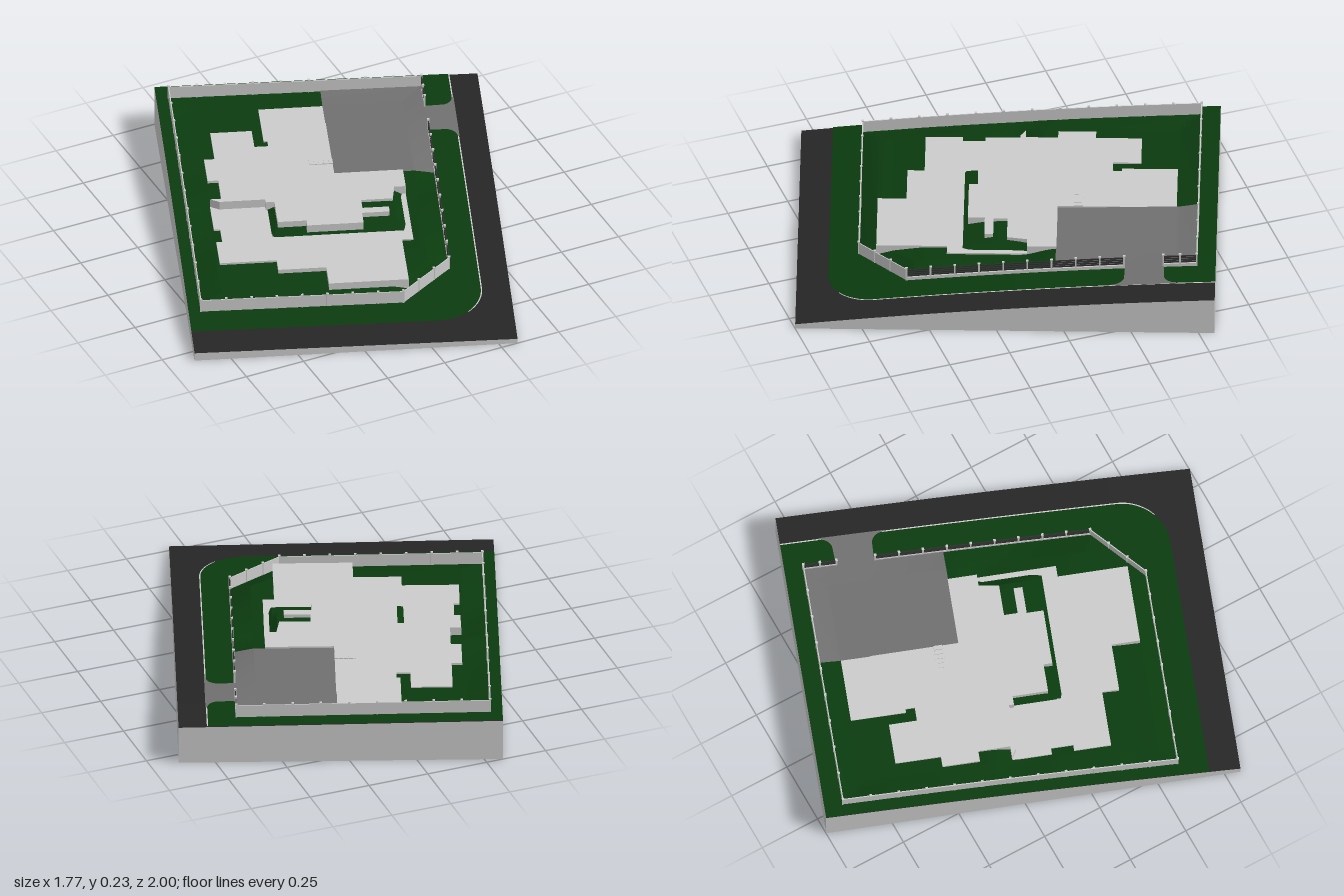
import * as THREE from 'three';

const W = 1.284, D = 1.66;
const mat = (color) => new THREE.MeshStandardMaterial({ color, flatShading: true });
const grey = mat(0xcccccc), green = mat(0x0b3b0f), asphalt = mat(0x262626);
const paving = mat(0x707070), metal = mat(0x303030);
const ss = THREE.MathUtils.smoothstep;

// sloping natural ground, gently levelled inside the fence
function ground(p, r) {
  const t = 0.5 - r / D, s = 0.5 + p / W;
  const slope = 0.035 - 0.015 * s + 0.14 * (1.45 * t - 0.45 * t * t);
  const inside = Math.min(p + 0.593, 0.41 - p, r + 0.755, 0.586 - r, 0.569 - 0.69 * p - 0.725 * r);
  const drop = Math.max(ss(r, 0, 0.25), ss(-p, 0.2, 0.3) * ss(r, -0.15, -0.02),
    ss(p, 0.22, 0.28) * ss(r, -0.2, -0.05));
  const level = 0.14 + 0.02 * Math.max(0, -r - 0.2) - 0.032 * drop - 0.02 * ss(r, 0.3, 0.5);
  return THREE.MathUtils.lerp(slope, level, THREE.MathUtils.clamp(inside / 0.08, 0, 1));
}

function add(parent, name, geometry, material) {
  const m = new THREE.Mesh(geometry, material);
  m.name = name;
  parent.add(m);
  return m;
}

// ground-hugging patch between two side curves left(r) and right(r)
function patch(parent, name, material, r0, r1, left, right, lift, nu, nv) {
  const g = new THREE.PlaneGeometry(1, 1, nu, nv).rotateX(-Math.PI / 2);
  const a = g.attributes.position;
  for (let i = 0; i < a.count; i++) {
    const r = r0 + (r1 - r0) * (a.getZ(i) + 0.5);
    const p = left(r) + (right(r) - left(r)) * (a.getX(i) + 0.5);
    a.setXYZ(i, p, ground(p, r) + lift, r);
  }
  g.computeVertexNormals();
  add(parent, name, g, material);
}

// flat-topped slab from a plan outline
function slab(parent, name, pts, y0, y1) {
  const shape = new THREE.Shape(pts.map(([p, r]) => new THREE.Vector2(p, -r)));
  const g = new THREE.ExtrudeGeometry(shape, { depth: y1 - y0, bevelEnabled: false });
  g.rotateX(-Math.PI / 2).translate(0, y0, 0);
  add(parent, name, g, grey);
}
const rect = (p0, r0, p1, r1) => [[p0, r0], [p1, r0], [p1, r1], [p0, r1]];

// straight bar between two plan points that follows the slope
function rail(parent, name, a, b, y0, y1, thick, material) {
  const dp = b[0] - a[0], dr = b[1] - a[1];
  const g = new THREE.BoxGeometry(Math.hypot(dp, dr), 1, thick);
  const v = g.attributes.position;
  for (let i = 0; i < v.count; i++) {
    const end = v.getX(i) < 0 ? a : b;
    v.setY(i, ground(...end) + (v.getY(i) < 0 ? y0 : y1));
  }
  g.computeVertexNormals();
  const m = add(parent, name, g, material);
  m.position.set((a[0] + b[0]) / 2, 0, (a[1] + b[1]) / 2);
  m.rotation.y = -Math.atan2(dr, dp);
}

function fence(parent, name, a, b, bays, open) {
  const f = new THREE.Group();
  f.name = name;
  parent.add(f);
  const at = (k) => [a[0] + (b[0] - a[0]) * k / bays, a[1] + (b[1] - a[1]) * k / bays];
  for (let k = 0; k <= bays; k++) {
    const [p, r] = at(k);
    add(f, 'post', new THREE.BoxGeometry(0.007, 0.07, 0.007), grey)
      .position.set(p, ground(p, r) + 0.025, r);
    add(f, 'postCap', new THREE.BoxGeometry(0.01, 0.004, 0.01), grey)
      .position.set(p, ground(p, r) + 0.061, r);
    if (k === bays) break;
    if (open) {
      rail(f, 'plinth', at(k), at(k + 1), -0.01, 0.018, 0.006, grey);
      for (let j = 0; j < 4; j++)
        rail(f, 'slat', at(k), at(k + 1), 0.022 + j * 0.009, 0.027 + j * 0.009, 0.004, metal);
    } else rail(f, 'panel', at(k), at(k + 1), -0.01, 0.056, 0.004, grey);
  }
}

export function createModel() {
  const model = new THREE.Group();
  const site = new THREE.Group();
  site.name = 'site';
  site.rotation.y = -THREE.MathUtils.degToRad(20);
  model.add(site);

  // solid earth block with the road surface as its top
  const block = new THREE.BoxGeometry(W, 1, D, 60, 1, 80);
  const v = block.attributes.position;
  for (let i = 0; i < v.count; i++)
    v.setY(i, v.getY(i) < 0 ? 0 : ground(v.getX(i), v.getZ(i)));
  block.computeVertexNormals();
  add(site, 'earthBlock', block, [grey, grey, asphalt, grey, grey, grey]);

  // lawn with its rounded street corner, and the kerb
  const edge = (r) => r < 0.52 ? 0.525 : 0.34 + Math.sqrt(Math.max(0, 0.185 ** 2 - (r - 0.52) ** 2));
  const west = () => -W / 2;
  patch(site, 'lawn', green, -D / 2, 0.52, west, edge, 0.004, 60, 70);
  patch(site, 'lawnCorner', green, 0.52, 0.705, west, edge, 0.004, 60, 40);
  patch(site, 'kerb', grey, -D / 2, 0.66, edge, (r) => edge(r) + 0.005, 0.005, 1, 120);

  // driveway court and flared entrance
  patch(site, 'driveway', paving, -0.755, -0.195, () => 0.01, () => 0.41, 0.008, 30, 40);
  const flare = (r) => {
    const d = r > -0.47 ? -0.42 - r : r < -0.625 ? r + 0.675 : -1;
    return d < 0 ? 0.409 : 0.475 + Math.sqrt(Math.max(0, 0.0025 - d * d));
  };
  patch(site, 'drivewayEntrance', paving, -0.675, -0.42, flare, () => 0.532, 0.008, 12, 80);

  // building pad: low footprint along the left and front, upper floor behind it
  const back = [
    [-0.495, -0.062], [-0.45, -0.062], [-0.45, -0.19], [-0.492, -0.19], [-0.492, -0.34],
    [-0.45, -0.34], [-0.45, -0.522], [-0.285, -0.522], [-0.285, -0.41], [-0.23, -0.41],
    [-0.23, -0.447], [-0.245, -0.447], [-0.245, -0.668], [0.012, -0.668], [0.012, -0.197],
    [0.285, -0.197],
  ];
  slab(site, 'lowerPad', [...back, [0.285, 0.237], [0.24, 0.237], [0.24, 0.517],
    [-0.077, 0.517], [-0.077, 0.403], [-0.268, 0.403], [-0.268, 0.335], [-0.494, 0.335],
    [-0.494, 0.187], [-0.47, 0.187], [-0.47, 0.098], [-0.495, 0.098]], 0.04, 0.119);
  slab(site, 'upperPad', [...back, [0.285, -0.08], [0.238, -0.08], [0.225, 0],
    [0.1, 0], [0.1, 0.055], [0.205, 0.055], [0.205, 0.09], [0.095, 0.09], [0.095, 0.157],
    [-0.13, 0.157], [-0.13, 0.122], [-0.243, 0.122], [-0.243, -0.02], [-0.278, -0.02],
    [-0.278, -0.04], [-0.46, -0.04]], 0.06, 0.155);

  // steps in front of the driveway edge
  for (let i = 0; i < 5; i++)
    slab(site, 'step', rect(-0.08 + i * 0.019, -0.297, -0.063 + i * 0.019, -0.262), 0.1, 0.157 + i * 0.0008);

  // boundary fences
  const nw = [-0.593, -0.755], ne = [0.412, -0.755], sw = [-0.593, 0.586];
  const s1 = [0.212, 0.586], s2 = [0.412, 0.394];
  fence(site, 'backFence', nw, ne, 9, false);
  fence(site, 'leftFence', nw, sw, 12, false);
  fence(site, 'frontFence', sw, s1, 8, false);
  fence(site, 'cornerFence', s1, s2, 3, false);
  fence(site, 'rightFence', s2, [0.412, -0.467], 9, true);
  fence(site, 'gateSideFence', [0.412, -0.622], ne, 2, true);
  return model;
}
